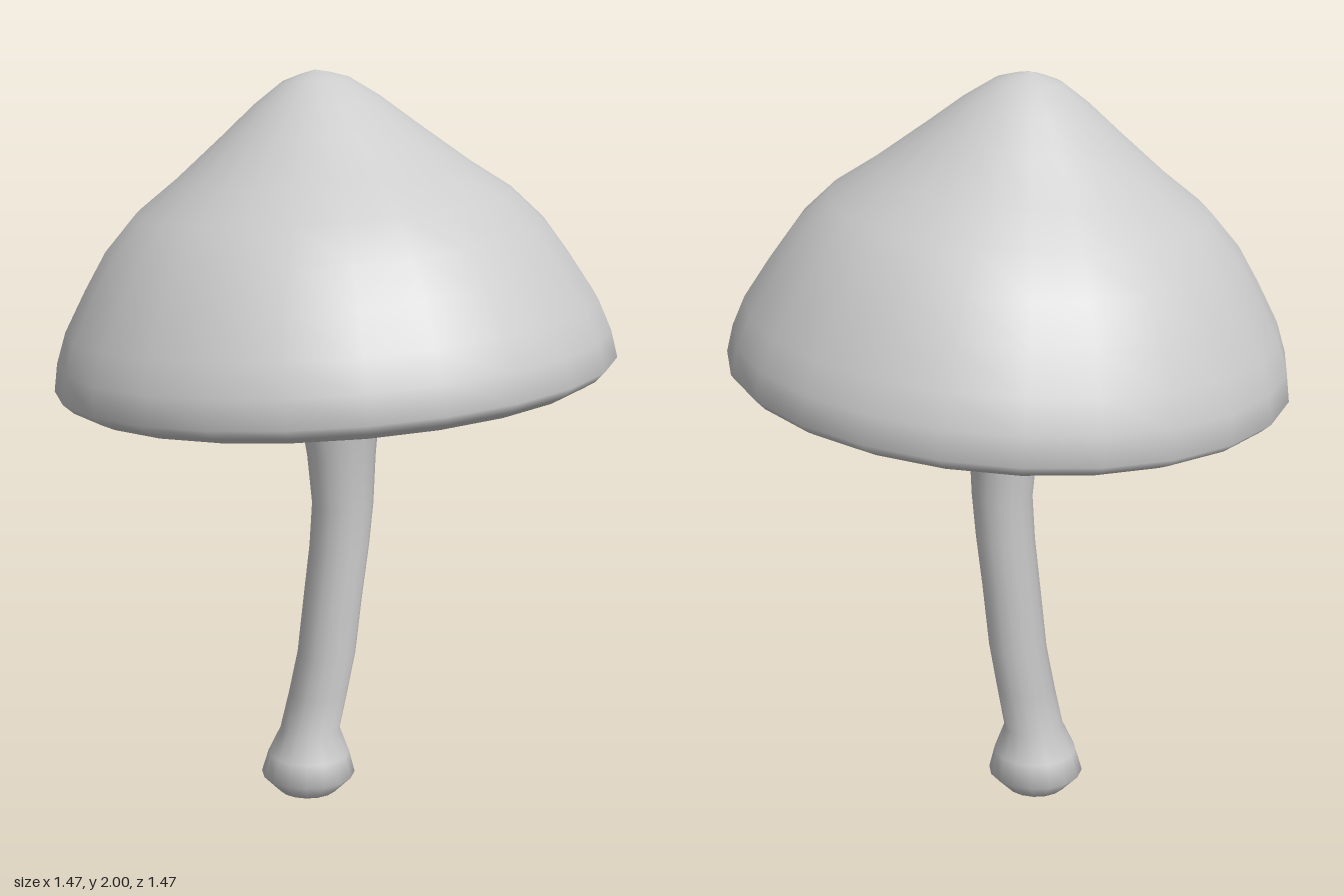
import * as THREE from 'three';

const SIDES = 24;
const grey = (opts = {}) => new THREE.MeshStandardMaterial({ color: 0xcccccc, ...opts });
const profile = (pts) => pts.map(([r, y]) => new THREE.Vector2(r, y));

function named(name, geometry, material) {
  const mesh = new THREE.Mesh(geometry, material);
  mesh.name = name;
  return mesh;
}

// Bent stem: a lathe whose rings are shifted sideways along the bend
function stemGeometry() {
  // [radius, height, centre x]
  const rings = [
    [0, 0.003, -0.088], [0.082, 0.02, -0.087], [0.129, 0.068, -0.086], [0.112, 0.13, -0.084],
    [0.082, 0.2, -0.08], [0.08, 0.31, -0.055], [0.079, 0.43, -0.03], [0.079, 0.6, -0.01],
    [0.08, 0.74, 0.008], [0.082, 0.86, 0.018], [0.091, 0.99, 0.014], [0.105, 1.1, 0.008],
    [0.121, 1.2, 0.003], [0.14, 1.28, -0.003], [0.16, 1.36, -0.01],
  ];
  const geometry = new THREE.LatheGeometry(profile(rings), 16);
  const pos = geometry.attributes.position;
  for (let i = 0; i < pos.count; i++) pos.setX(i, pos.getX(i) + rings[i % rings.length][2]);
  return geometry;
}

// Underside: alternating low gills and raised gaps, joined by upright walls
function gillGeometry() {
  const low = [[0.665, 0], [0.645, 0.01], [0.5, 0.055], [0.3, 0.1], [0.17, 0.125], [0.09, 0.17]];
  const high = [[0.665, 0], [0.652, 0.04], [0.5, 0.09], [0.3, 0.135], [0.17, 0.17], [0.09, 0.21]];
  const verts = [];
  const at = ([r, y], a) => [r * Math.cos(a), y, r * Math.sin(a)];
  const quad = (a, b, c, d) => verts.push(...a, ...b, ...c, ...a, ...c, ...d);
  for (let k = 0; k < SIDES; k++) {
    const a0 = (k / SIDES) * Math.PI * 2;
    const a1 = ((k + 1) / SIDES) * Math.PI * 2;
    const rows = k % 2 ? high : low;
    for (let j = 0; j < rows.length - 1; j++) {
      quad(at(rows[j], a0), at(rows[j], a1), at(rows[j + 1], a1), at(rows[j + 1], a0));
      quad(at(low[j], a0), at(low[j + 1], a0), at(high[j + 1], a0), at(high[j], a0));
    }
  }
  const geometry = new THREE.BufferGeometry();
  geometry.setAttribute('position', new THREE.Float32BufferAttribute(verts, 3));
  geometry.computeVertexNormals();
  return geometry;
}

export function createModel() {
  const model = new THREE.Group();
  model.name = 'mushroom';
  model.add(named('stem', stemGeometry(), grey()));

  // Tilted cap with its gills
  const cap = new THREE.Group();
  cap.name = 'cap';
  cap.position.y = 1.185;
  cap.rotation.z = 0.0735;
  const dome = profile([
    [0.66, 0.004], [0.675, 0], [0.71, 0.018], [0.736, 0.043], [0.723, 0.115], [0.694, 0.195],
    [0.633, 0.3], [0.572, 0.395], [0.49, 0.482], [0.385, 0.558], [0.25, 0.667],
    [0.165, 0.738], [0.086, 0.793], [0.04, 0.808], [0, 0.817],
  ]);
  cap.add(named('dome', new THREE.LatheGeometry(dome, SIDES), grey()));
  cap.add(named('gills', gillGeometry(), grey({ flatShading: true, side: THREE.DoubleSide })));
  model.add(cap);
  return model;
}
